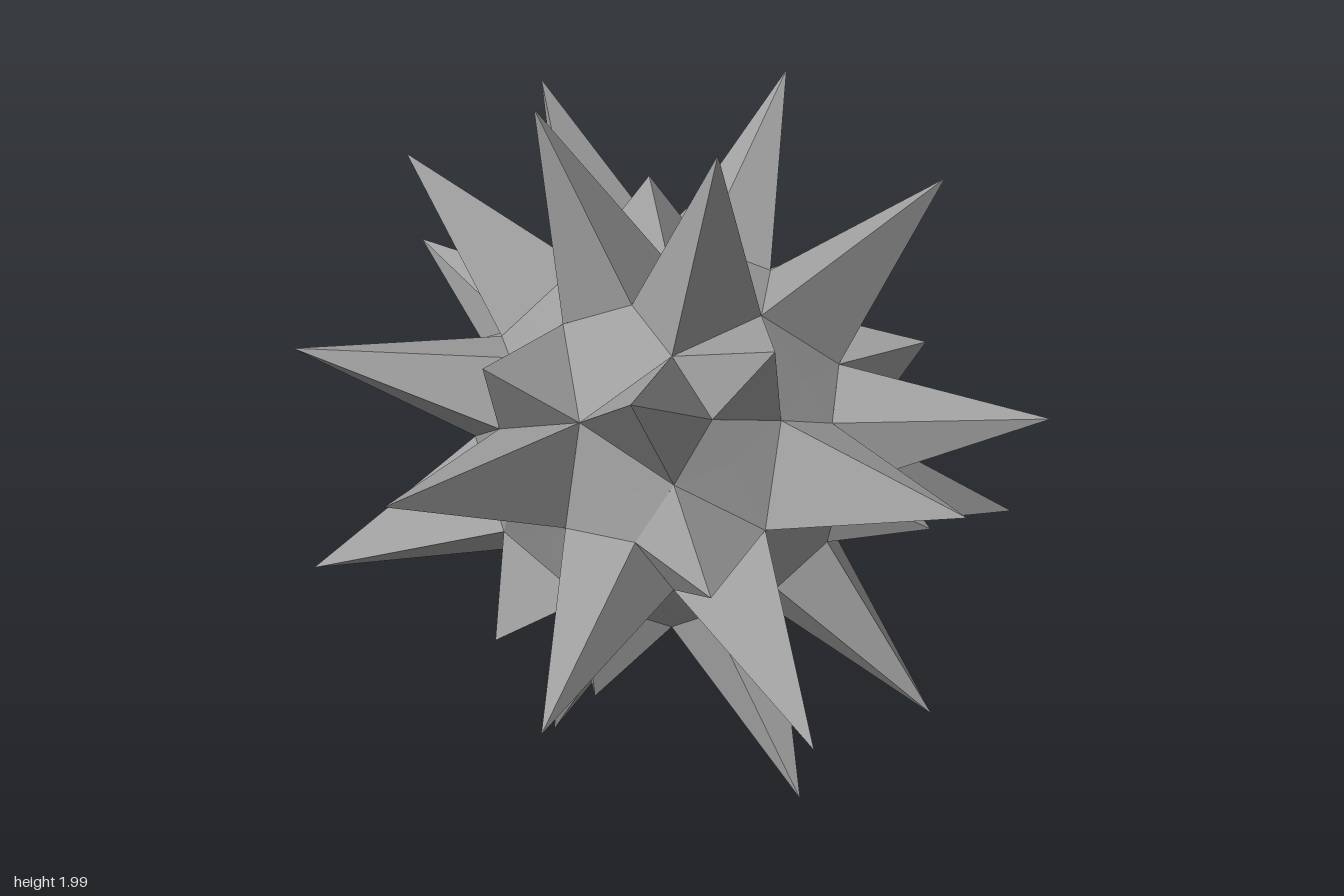
import * as THREE from 'three';

const RADIUS = 0.53;
const HEIGHT = { L: 0.553, s: 0.23, o: 0 };
const DEG = Math.PI / 180;
const MID = 31.717 * DEG, CORNER = 37.377 * DEG; // angles from a five-fold axis
const SHORT_SHIFT = 0.042; // short spikes lean slightly forward

// One row per five-fold axis: L is a long spike, s a short one, o a flat facet.
// First the pole, then the ring of five axes around it.
const FRONT = ['LosLo', 'LsoLs', 'sLoLo', 'oLsoL', 'ossoL', 'LoLoL'];
const BACK = ['LoLoL', 'sLoLo', 'LsLoL', 'sLoLs', 'LLsLo', 'soLsL'];

// Axis and its two tangents
function axisFrame(i) {
  if (i === 0) {
    return [new THREE.Vector3(0, 0, 1), new THREE.Vector3(1, 0, 0), new THREE.Vector3(0, 1, 0)];
  }
  const a = (i - 1) * 72 * DEG, c = Math.cos(a), s = Math.sin(a);
  const p = 2 / Math.sqrt(5), q = 1 / Math.sqrt(5);
  return [new THREE.Vector3(p * c, p * s, q), new THREE.Vector3(-q * c, -q * s, p), new THREE.Vector3(-s, c, 0)];
}

// Four-sided spike, or flat facet, on a kite-shaped base
function spike(frame, phi, kind, back) {
  const [axis, e1, e2] = frame;
  const at = (polar, az) => {
    const v = axis.clone().multiplyScalar(Math.cos(polar))
      .addScaledVector(e1, Math.sin(polar) * Math.cos(az))
      .addScaledVector(e2, Math.sin(polar) * Math.sin(az))
      .multiplyScalar(RADIUS);
    if (back) v.set(-v.x, v.y, -v.z);
    return v;
  };
  const half = 36 * DEG;
  const base = [at(0, 0), at(MID, phi - half), at(CORNER, phi), at(MID, phi + half)];
  const centre = base.reduce((sum, v) => sum.add(v), new THREE.Vector3()).multiplyScalar(0.25);
  const normal = base[2].clone().sub(base[0]).cross(base[3].clone().sub(base[1])).normalize();
  if (normal.dot(centre) < 0) {
    normal.negate();
    base.reverse();
  }
  const tip = centre.addScaledVector(normal, HEIGHT[kind]);
  if (kind === 's') tip.z += SHORT_SHIFT;
  return base.flatMap((v, i) => [v, base[(i + 1) % 4], tip]);
}

export function createModel() {
  const group = new THREE.Group();
  group.name = 'spikyBall';
  const grey = new THREE.MeshStandardMaterial({ color: 0xa0a0a0 });
  grey.name = 'grey';

  const names = { L: 'longSpikes', s: 'shortSpikes', o: 'flatFacets' };
  const points = { L: [], s: [], o: [] };
  [FRONT, BACK].forEach((rows, side) => rows.forEach((row, i) => {
    const frame = axisFrame(i);
    [...row].forEach((kind, k) => {
      points[kind].push(...spike(frame, (36 + 72 * k) * DEG, kind, side === 1));
    });
  }));

  // Unshared corners give flat faces
  for (const [kind, list] of Object.entries(points)) {
    const geometry = new THREE.BufferGeometry().setFromPoints(list);
    geometry.computeVertexNormals();
    const mesh = new THREE.Mesh(geometry, grey);
    mesh.name = names[kind];
    mesh.position.y = 1;
    group.add(mesh);
  }
  return group;
}
